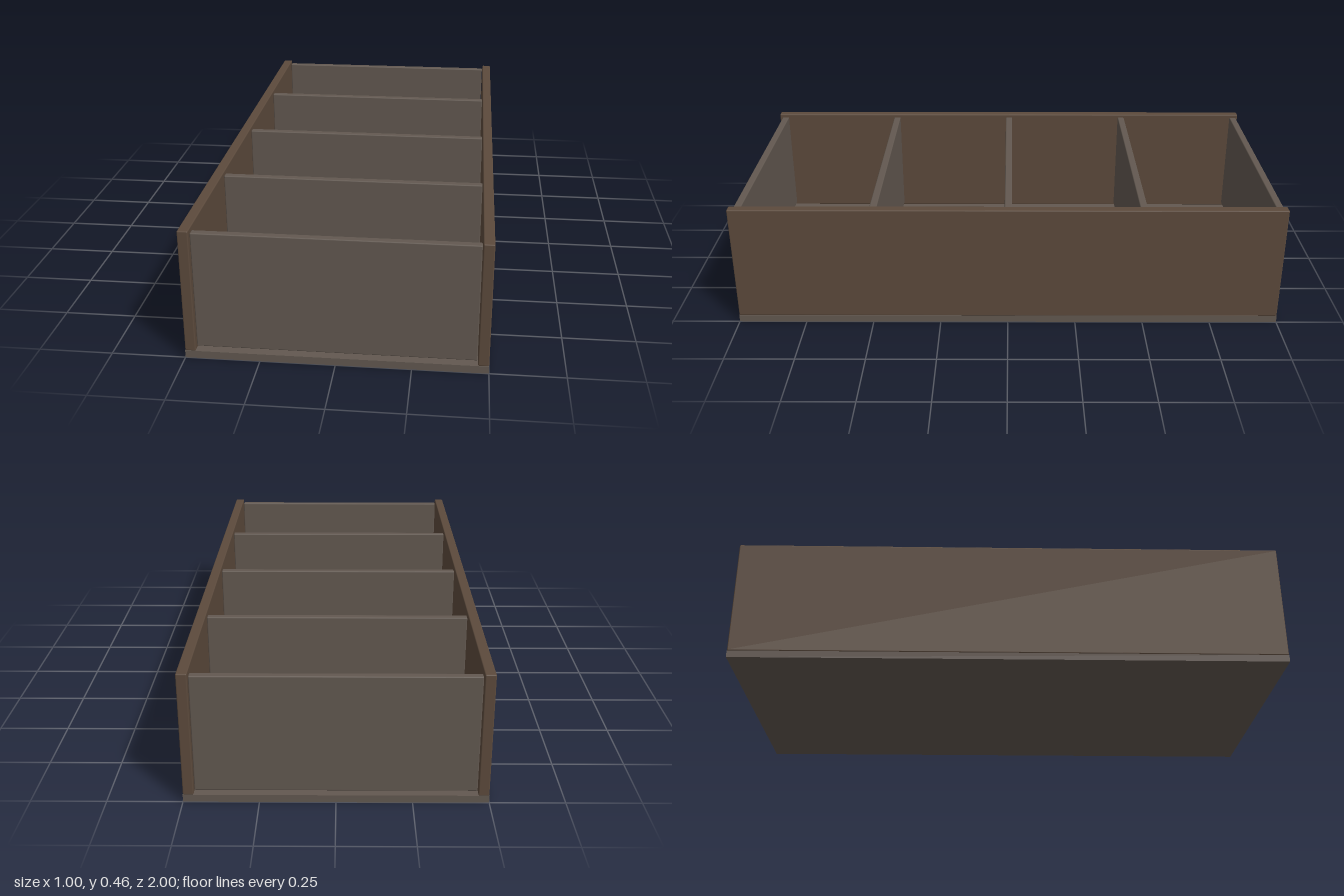
import * as THREE from 'three';
import { RoundedBoxGeometry } from 'three/addons/geometries/RoundedBoxGeometry.js';

const sideWood = new THREE.MeshStandardMaterial({ color: 0x5c4a3c });
const panelWood = new THREE.MeshStandardMaterial({ color: 0x625850 });

// Board with softened edges, placed by its centre in x and z and its bottom in y
function board(name, [w, h, d], [x, bottom, z], material, radius = 0.004) {
  const geometry = radius > 0
    ? new RoundedBoxGeometry(w, h, d, 2, radius)
    : new THREE.BoxGeometry(w, h, d);
  const mesh = new THREE.Mesh(geometry, material);
  mesh.name = name;
  mesh.position.set(x, bottom + h / 2, z);
  return mesh;
}

export function createModel() {
  const group = new THREE.Group();
  group.name = 'dividedTray';

  // Flat base
  group.add(board('base', [1, 0.026, 2], [0, 0, 0], panelWood, 0));

  // Long side walls
  for (const s of [-1, 1]) {
    const name = s > 0 ? 'leftSide' : 'rightSide';
    group.add(board(name, [0.036, 0.434, 2], [s * 0.482, 0.026, 0], sideWood));
  }

  // End panels and dividers, evenly spaced and held just above the base
  const names = ['backPanel', 'backDivider', 'middleDivider', 'frontDivider', 'frontPanel'];
  names.forEach((name, i) => {
    const z = -0.978 + i * 0.488;
    group.add(board(name, [0.924, 0.411, 0.027], [0, 0.038, z], panelWood));
  });

  return group;
}
